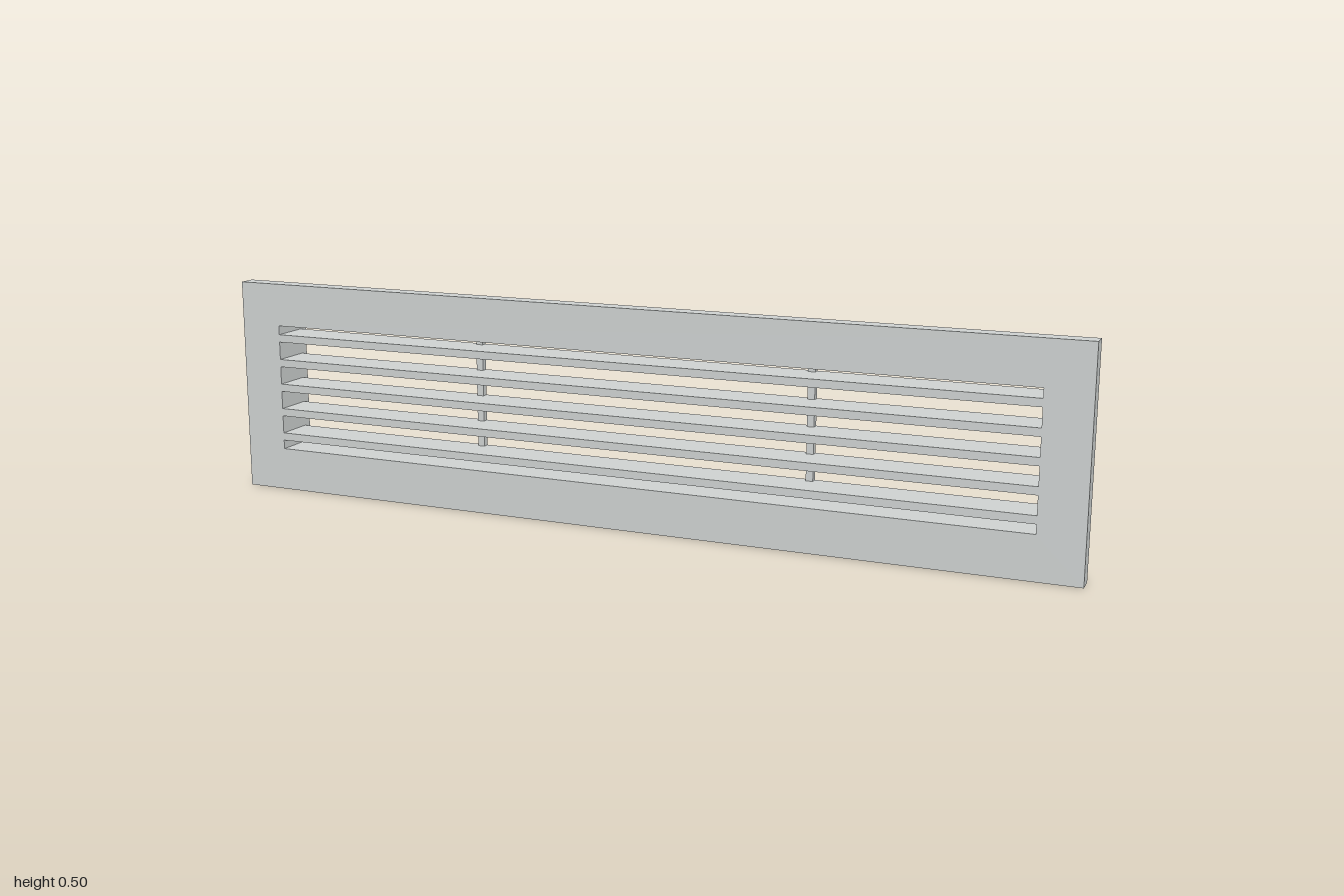
import * as THREE from 'three';

const CY = 0.25; // grille centre height

export function createModel() {
  const group = new THREE.Group();
  const metal = new THREE.MeshStandardMaterial({ color: 0xcdd1d0 });
  metal.name = 'light grey metal';

  const add = (name, geometry, x, y, z) => {
    const mesh = new THREE.Mesh(geometry, metal);
    mesh.name = name;
    mesh.position.set(x, y, z);
    group.add(mesh);
  };

  const rect = (Type, w, h) => new Type([
    new THREE.Vector2(-w / 2, -h / 2), new THREE.Vector2(w / 2, -h / 2),
    new THREE.Vector2(w / 2, h / 2), new THREE.Vector2(-w / 2, h / 2),
  ]);

  // Rectangular ring extruded along z
  const ring = (w, h, innerW, innerH, depth) => {
    const shape = rect(THREE.Shape, w, h);
    shape.holes.push(rect(THREE.Path, innerW, innerH));
    return new THREE.ExtrudeGeometry(shape, { depth, bevelEnabled: false });
  };

  // Front flange and the shallower collar behind it
  add('frontFrame', ring(2, 0.5, 1.8, 0.3, 0.04), 0, CY, 0.015);
  add('rearCollar', ring(1.824, 0.33, 1.8, 0.3, 0.07), 0, CY, -0.055);

  // Horizontal slats, flush with the front face
  for (let i = -2; i <= 2; i++) {
    add('slat', new THREE.BoxGeometry(1.8, 0.018, 0.09), 0, CY + i * 0.06, 0.01);
  }

  // Vertical support bars threaded through the backs of the slats
  for (const side of [-1, 1]) {
    add('supportBar', new THREE.BoxGeometry(0.016, 0.3, 0.015), side * 0.4, CY, -0.0265);
  }
  return group;
}
